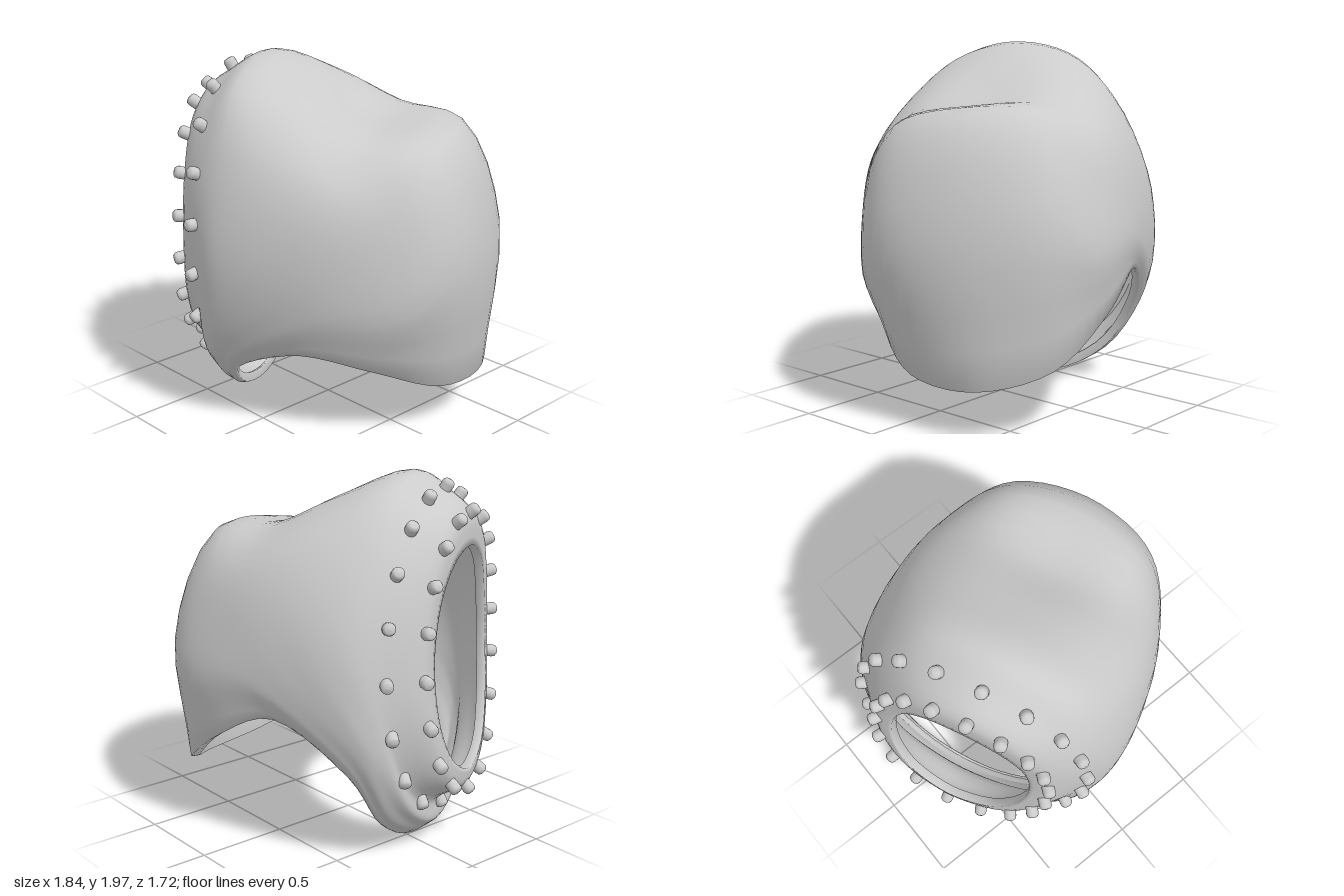
import * as THREE from 'three';

const V = (f, y, s) => new THREE.Vector3(-f, y, s); // forward, up, sideways

// Face opening: three nested oval loops, [forward, half width, half height, centre height]
const LOOPS = [[0.675, 0.41, 0.565, 1.055], [0.655, 0.505, 0.69, 1.09], [0.51, 0.655, 0.79, 1.1]];
function rimPoint(k, angle) {
  const [f, w, h, centre] = LOOPS[k];
  const c = Math.cos(angle);
  return V(
    f + 0.055 * c * c - 0.035 * c,
    centre + h * c * (1 + 0.06 * c * c) - 0.04 * c * c,
    w * Math.sin(angle) * (1 + 0.14 * c * c - 0.08 * c));
}

// Profiles from the face rim to the neck edge:
// [angle around the rim, points, extra height of the neck edge on the right side]
const PROFILES = [
  [0, [[0.35, 1.99, 0], [0.03, 1.855, 0], [-0.28, 1.68, 0], [-0.72, 1.635, 0], [-0.93, 1.05, 0], [-0.88, 0.27, 0]], 0],
  [30, [[0.36, 1.89, 0.36], [0.04, 1.8, 0.39], [-0.29, 1.66, 0.38], [-0.65, 1.57, 0.39], [-0.86, 1.03, 0.39], [-0.75, 0.33, 0.38]], 0],
  [58, [[0.34, 1.62, 0.595], [0.06, 1.57, 0.65], [-0.25, 1.46, 0.65], [-0.52, 1.27, 0.62], [-0.65, 0.86, 0.625], [-0.45, 0.5, 0.62]], 0.05],
  [90, [[0.38, 1.09, 0.75], [0.2, 1.08, 0.785], [0, 1.02, 0.78], [-0.14, 0.93, 0.765], [-0.17, 0.78, 0.75], [-0.08, 0.58, 0.7]], 0.13],
  [122, [[0.52, 0.61, 0.64], [0.46, 0.6, 0.69], [0.41, 0.57, 0.7], [0.36, 0.53, 0.69], [0.34, 0.47, 0.67], [0.32, 0.4, 0.61]], 0.04],
  [150, [[0.58, 0.26, 0.39], [0.53, 0.23, 0.41], [0.49, 0.19, 0.42], [0.46, 0.17, 0.41], [0.44, 0.15, 0.4], [0.41, 0.14, 0.37]], 0],
  [180, [[0.6, 0.11, 0], [0.56, 0.07, 0], [0.53, 0.045, 0], [0.5, 0.025, 0], [0.47, 0.01, 0], [0.44, 0.01, 0]], 0],
];

const AROUND = 60, ALONG = 32, THICKNESS = 0.05;

// Outer skin as rings of points, from the face rim to the neck edge
function outerRings() {
  const half = PROFILES.map(([deg, pts, lift]) => {
    const a = THREE.MathUtils.degToRad(deg);
    const curve = new THREE.CatmullRomCurve3([
      ...LOOPS.map((_, k) => rimPoint(k, a)),
      ...pts.map((p) => V(...p)),
    ]);
    return { curve, lift };
  });
  const rings = [];
  for (let m = 0; m <= ALONG; m++) {
    const t = m / ALONG;
    const left = half.map(({ curve }) => curve.getPoint(t));
    const right = half.slice(1, -1).reverse().map(({ curve, lift }) => {
      const p = curve.getPoint(t);
      return new THREE.Vector3(p.x, p.y + lift * t ** 4, -p.z);
    });
    const ring = new THREE.CatmullRomCurve3([...left, ...right], true);
    rings.push(Array.from({ length: AROUND }, (_, i) => ring.getPoint(i / AROUND)));
  }
  return rings;
}

// Skin over rings; wrap also joins the last ring to the first
function skin(rings, wrap) {
  const n = rings.length, index = [];
  for (let m = 0; m < (wrap ? n : n - 1); m++) {
    for (let i = 0; i < AROUND; i++) {
      const j = (i + 1) % AROUND, q = (m + 1) % n;
      const a = m * AROUND + i, b = m * AROUND + j, c = q * AROUND + j, d = q * AROUND + i;
      index.push(a, b, c, a, c, d);
    }
  }
  const g = new THREE.BufferGeometry().setFromPoints(rings.flat());
  g.setIndex(index);
  g.computeVertexNormals();
  return g;
}

// Thick hood: outer skin, then an inner skin running back to the face rim
function hoodGeometry() {
  const outer = outerRings();
  const normals = skin(outer, false).getAttribute('normal');
  const inner = outer.map((ring, m) => ring.map((p, i) =>
    p.clone().addScaledVector(
      new THREE.Vector3().fromBufferAttribute(normals, m * AROUND + i), -THICKNESS)));
  return skin([...outer, ...inner.reverse()], true);
}

export function createModel() {
  const model = new THREE.Group();
  model.name = 'hood';
  const material = new THREE.MeshStandardMaterial({ color: 0xcccccc });

  const shell = new THREE.Mesh(hoodGeometry(), material);
  shell.name = 'shell';
  model.add(shell);

  // Two rows of round-ended studs around the face opening
  const studGeometry = new THREE.LatheGeometry(
    [[0.033, -0.025], [0.035, 0.03], [0.032, 0.045], [0.022, 0.054], [0, 0.057]]
      .map(([x, y]) => new THREE.Vector2(x, y)), 14);
  const studs = new THREE.Group();
  studs.name = 'studs';
  const up = new THREE.Vector3(0, 1, 0);
  const rows = [['innerStud', 1, 0.75, 0.65], ['outerStud', 2, 0.5, 0.85]];
  for (const [name, loop, forward, out] of rows) {
    for (let i = 0; i < 18; i++) {
      const a = (i / 18) * Math.PI * 2;
      const stud = new THREE.Mesh(studGeometry, material);
      stud.name = name;
      stud.position.copy(rimPoint(loop, a));
      const axis = V(forward, out * Math.cos(a), out * Math.sin(a)).normalize();
      stud.quaternion.setFromUnitVectors(up, axis);
      studs.add(stud);
    }
  }
  model.add(studs);

  // The face looks off to one side, with the head tilted a little
  model.rotation.set(THREE.MathUtils.degToRad(6), THREE.MathUtils.degToRad(25.5), 0, 'YXZ');
  model.position.set(-0.062, 0.005, -0.13);
  return model;
}
